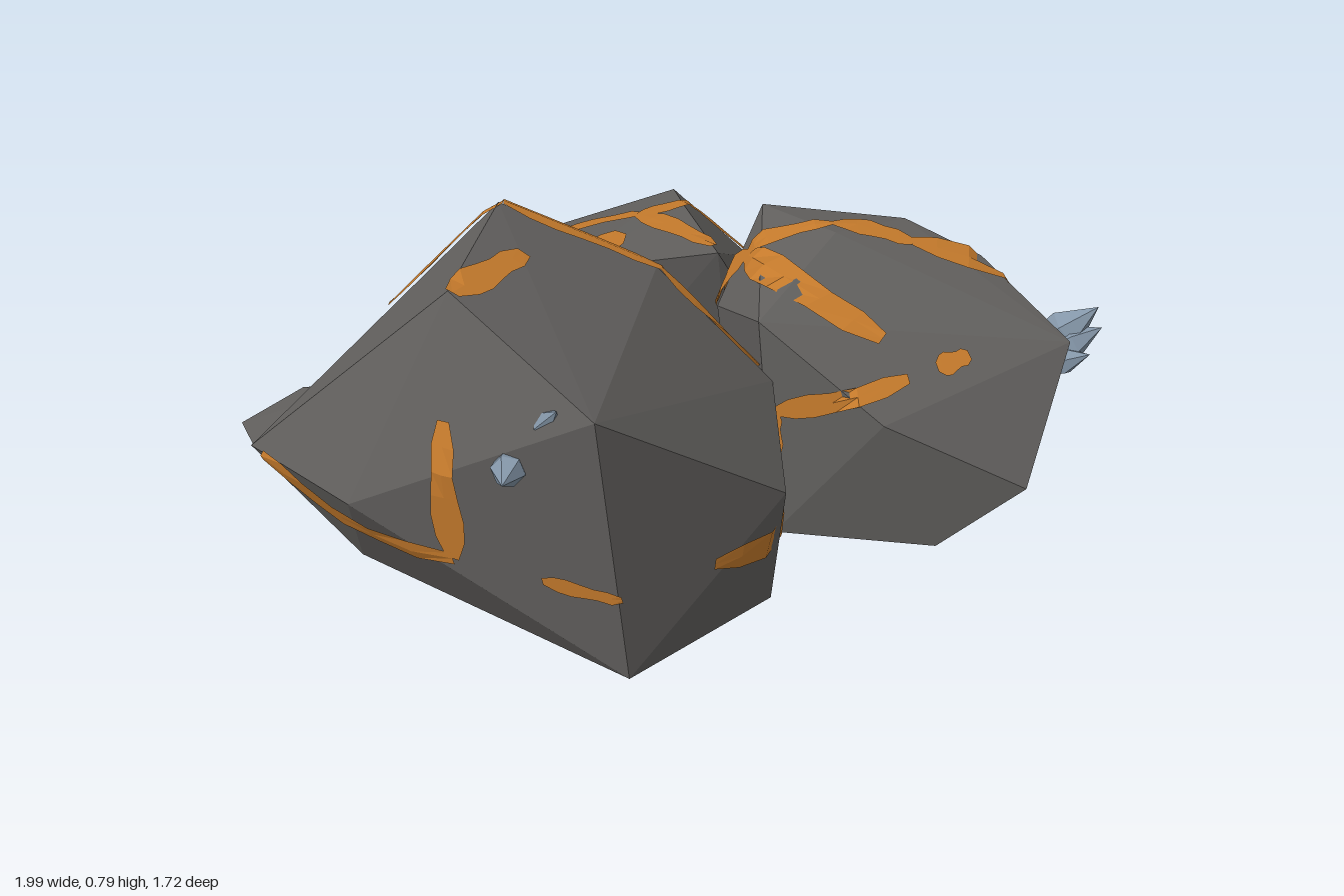
import * as THREE from 'three';
import { ConvexGeometry } from 'three/addons/geometries/ConvexGeometry.js';

const V = (p) => new THREE.Vector3(...p);
const mat = (color) => new THREE.MeshStandardMaterial({ color, flatShading: true, side: THREE.DoubleSide });
const stone = mat(0x62605e), ore = mat(0xc67b2c), gem = mat(0x8496a8);
const ray = new THREE.Raycaster();

function part(name, geometry, material) {
  const mesh = new THREE.Mesh(geometry, material);
  mesh.name = name;
  return mesh;
}

// Hollow boulder: convex hull of its corners and ground outline, open underneath
function boulder(name, corners, foot) {
  const points = [...corners, ...foot.map(([x, z]) => [x, 0, z])].map(V);
  const src = new ConvexGeometry(points).attributes.position, kept = [];
  for (let i = 0; i < src.count; i += 3) {
    const tri = [0, 1, 2].map((k) => new THREE.Vector3().fromBufferAttribute(src, i + k));
    if (tri.some((p) => p.y > 0.03)) kept.push(...tri);
  }
  const geo = new THREE.BufferGeometry().setFromPoints(kept);
  geo.computeVertexNormals();
  return part(name, geo, stone);
}

// Small loose stone: an uneven six-sided ring with a low peak and a blunt underside
function pebble(name, x, z, rx, rz, turn) {
  const points = [V([x + 0.04, 0.14, z - 0.02]), V([x, 0.01, z])];
  for (let i = 0; i < 6; i++) {
    const a = turn + i * Math.PI / 3;
    points.push(V([x + rx * Math.cos(a), 0.06 + 0.02 * (i % 3), z + rz * Math.sin(a)]));
  }
  return part(name, new ConvexGeometry(points), stone);
}

// Side from which a vein is laid on: outward direction and placing of its two coordinates
const sides = {
  top: [[0, 1, 0], (p, u, v) => p.set(u, p.y, v)],
  front: [[0, 0, 1], (p, u, v) => p.set(u, v, p.z)],
  back: [[0, 0, -1], (p, u, v) => p.set(u, v, p.z)],
  left: [[1, 0, 0], (p, u, v) => p.set(p.x, v, u)],
};

// Chain of spindle-shaped ore veins draped over a rock
function veins(rock, side, path, width = 0.07) {
  const centre = new THREE.Box3().setFromObject(rock).getCenter(new THREE.Vector3());
  const out = V(sides[side][0]);

  // Point of the rock's skin under (u, v), pulled inward until it lies on the rock
  const onSkin = ([u, v]) => {
    const p = sides[side][1](centre.clone(), u, v);
    for (let i = 0; i < 40; i++) {
      ray.set(p.clone().addScaledVector(out, 3), out.clone().negate());
      const hit = ray.intersectObject(rock)[0];
      if (hit) return hit.point;
      p.lerp(centre, 0.04);
    }
    return p;
  };
  const drape = (p) => {
    const dir = p.clone().sub(centre).normalize();
    ray.set(centre, dir);
    const hit = ray.intersectObject(rock).pop();
    return (hit ? hit.point : p).clone().addScaledVector(dir, 0.012);
  };

  const group = new THREE.Group();
  group.name = 'oreVeins';
  const nodes = path.map(onSkin);
  const profile = [0.4, 0.9, 1, 0.8, 0.65, 0.75, 0.4];
  for (let n = 1; n < nodes.length; n++) {
    const [a, b] = [nodes[n - 1], nodes[n]];
    const across = b.clone().sub(a).cross(a.clone().lerp(b, 0.5).sub(centre)).normalize();
    const points = [], index = [];
    profile.forEach((w, i) => {
      const mid = a.clone().lerp(b, i / (profile.length - 1));
      for (const s of [-1, 0, 1]) points.push(drape(mid.clone().addScaledVector(across, s * w * width / 2)));
      for (let k = i * 3; i && k < i * 3 + 2; k++) index.push(k - 3, k - 2, k, k, k - 2, k + 1);
    });
    const geo = new THREE.BufferGeometry().setFromPoints(points);
    geo.setIndex(index);
    geo.computeVertexNormals();
    group.add(part('oreVein', geo, ore));
  }
  return group;
}

// Six-sided crystal with a pointed tip
function crystal(base, tip, radius) {
  const axis = V(tip).sub(V(base)), len = axis.length();
  const profile = [[0, 0], [radius * 0.7, 0], [radius, len * 0.6], [0, len]].map(([x, y]) => new THREE.Vector2(x, y));
  const mesh = part('crystal', new THREE.LatheGeometry(profile, 6), gem);
  mesh.position.set(...base);
  mesh.quaternion.setFromUnitVectors(new THREE.Vector3(0, 1, 0), axis.normalize());
  return mesh;
}

export function createModel() {
  const group = new THREE.Group();

  // Large boulder
  const large = boulder('largeBoulder', [
    [-0.33, 0.64, 0.86], [-0.55, 0.77, 0.51], [-0.39, 0.78, 0.13], [-0.06, 0.63, 0.22], [-0.22, 0.53, -0.25],
    [-0.26, 0.28, -0.4], [-0.97, 0.2, 0.05], [-0.78, 0.28, 0.47], [0.11, 0.3, 0.67], [0.17, 0.39, 0.36],
  ], [[-0.75, 0.25], [-0.26, 0.82], [0.1, 0.62], [0.17, 0.25], [-0.15, -0.15], [-0.6, 0]]);
  group.add(
    large,
    veins(large, 'top', [[-0.63, 0.11], [-0.38, 0.14], [-0.06, 0.23], [0.14, 0.32]]),
    veins(large, 'top', [[-0.24, 0.14], [-0.02, -0.1]], 0.09),
    veins(large, 'top', [[-0.54, 0.52], [-0.37, 0.33]], 0.08),
    veins(large, 'back', [[-0.94, 0.2], [-0.27, 0.27]]),
    veins(large, 'front', [[-0.94, 0.21], [-0.58, 0.22], [-0.58, 0.53]]),
    veins(large, 'front', [[-0.42, 0.22], [-0.28, 0.22]], 0.04),
    veins(large, 'front', [[-0.07, 0.21], [0.16, 0.22]], 0.06),
  );

  // Boulder on the left side
  const side = boulder('sideBoulder', [
    [0.14, 0.53, 0.34], [0.4, 0.6, 0.08], [0.6, 0.58, 0], [0.3, 0.57, -0.18], [0.76, 0.51, 0.1], [0.87, 0.41, 0.38],
    [0.71, 0.15, 0.56], [0.38, 0.33, 0.51], [0.29, 0.26, -0.31], [0.62, 0.28, -0.2], [0.14, 0.4, 0],
  ], [[0.95, 0.1], [0.52, 0.52], [0.18, 0.38], [0.18, 0.05], [0.35, -0.2], [0.65, -0.16]]);
  group.add(
    side,
    veins(side, 'top', [[0.2, -0.2], [0.22, 0], [0.42, 0.37]]),
    veins(side, 'top', [[0.15, -0.06], [0.22, 0], [0.41, 0.04], [0.58, 0.1], [0.86, 0.19], [0.8, 0]]),
    veins(side, 'left', [[0.14, 0.38], [0.2, 0.18]], 0.06),
    veins(side, 'left', [[0.14, 0.39], [-0.03, 0.36], [-0.25, 0.28]]),
    veins(side, 'front', [[0.16, 0.2], [0.18, 0.32], [0.46, 0.4]], 0.05),
    veins(side, 'front', [[0.53, 0.41], [0.61, 0.42]], 0.05),
  );

  // Low boulder at the back
  const rear = boulder('rearBoulder', [
    [0.2, 0.41, -0.57], [0.41, 0.2, -0.64], [0.21, 0.39, -0.72], [-0.1, 0.25, -0.86], [0.01, 0.28, -0.84],
    [-0.1, 0.02, -0.82], [-0.3, 0.22, -0.55], [0.2, 0.43, -0.22], [-0.2, 0.41, -0.25], [0.38, 0.12, -0.29],
  ], [[0.3, -0.6], [0.25, -0.25], [-0.15, -0.25], [-0.2, -0.55]]);
  group.add(
    rear,
    veins(rear, 'top', [[-0.11, -0.71], [0.07, -0.53], [0.2, -0.27]], 0.08),
    veins(rear, 'top', [[0, -0.43], [-0.18, -0.29]], 0.1),
    veins(rear, 'top', [[0.07, -0.53], [0.23, -0.58], [0.4, -0.63]], 0.06),
    veins(rear, 'left', [[-0.58, 0.38], [-0.62, 0.18]], 0.06),
  );

  // Loose stones
  const leftPebble = pebble('leftPebble', 0.77, -0.41, 0.22, 0.165, -0.5);
  const rightPebble = pebble('rightPebble', -0.81, -0.23, 0.2, 0.18, 0.4);
  group.add(
    leftPebble, veins(leftPebble, 'top', [[0.82, -0.44], [0.93, -0.4]]),
    rightPebble, veins(rightPebble, 'top', [[-0.73, -0.25], [-0.66, -0.23]], 0.06),
  );

  // Crystals
  group.add(
    crystal([0.84, 0.27, 0.2], [0.99, 0.43, 0.27], 0.05),
    crystal([0.84, 0.29, 0.25], [1, 0.38, 0.28], 0.04),
    crystal([0.84, 0.27, 0.24], [0.95, 0.34, 0.33], 0.035),
    crystal([-0.45, 0.48, 0.66], [-0.5, 0.49, 0.8], 0.035),
    crystal([-0.42, 0.52, 0.68], [-0.39, 0.64, 0.8], 0.03),
  );
  return group;
}
